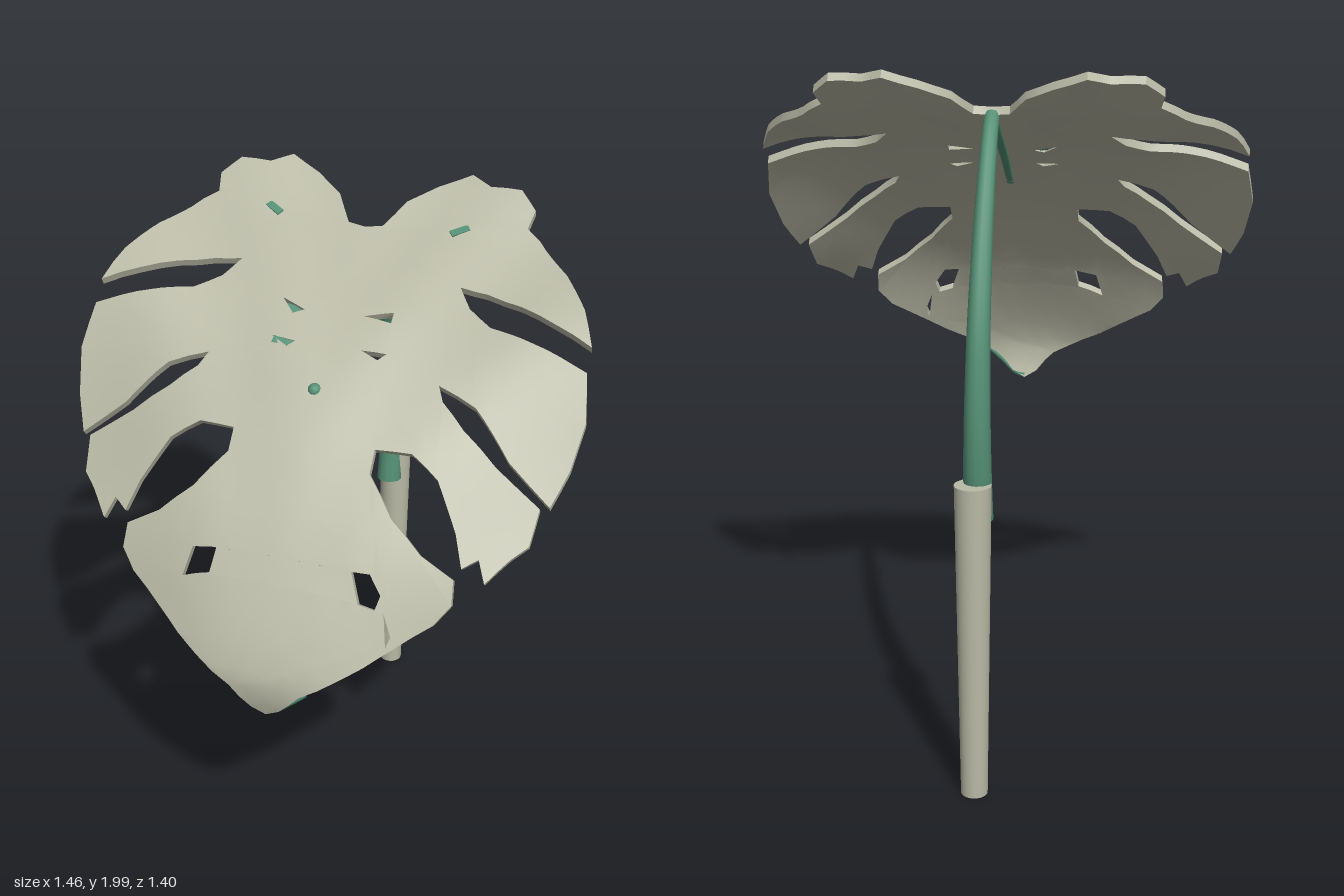
import * as THREE from 'three';
import { mergeVertices, toCreasedNormals } from 'three/addons/utils/BufferGeometryUtils.js';

const leafMat = new THREE.MeshStandardMaterial({ color: 0xbabaa7 });
leafMat.name = 'pale leaf';
const stemMat = new THREE.MeshStandardMaterial({ color: 0x559076 });
stemMat.name = 'stem green';

// Midrib profile: distance along the leaf u -> [u, z, y]
const RIB = [
  [-0.46, -0.46, 1.995], [-0.3, -0.3, 1.89], [0, 0, 1.745], [0.1, 0.1, 1.69], [0.2, 0.2, 1.625],
  [0.3, 0.3, 1.55], [0.4, 0.4, 1.45], [0.5, 0.5, 1.33], [0.6, 0.6, 1.18], [0.7, 0.685, 1.02],
  [0.78, 0.705, 0.93], [0.86, 0.68, 0.84],
];
function ribAt(u) {
  let i = 0;
  while (i < RIB.length - 2 && u > RIB[i + 1][0]) i++;
  const [a, b] = [RIB[i], RIB[i + 1]];
  const t = (u - a[0]) / (b[0] - a[0]);
  return [a[1] + (b[1] - a[1]) * t, a[2] + (b[2] - a[2]) * t];
}

// Point on the curved leaf; h is the depth below its upper face
function onLeaf(x, u, h) {
  const e = 0.025;
  const [z0, y0] = ribAt(u - e), [z1, y1] = ribAt(u + e);
  const len = Math.hypot(z1 - z0, y1 - y0);
  const droop = 0.45 * x * x * THREE.MathUtils.smoothstep(u, -0.06, 0.38);
  const cup = 0.35 * x * x * THREE.MathUtils.smoothstep(u, 0.45, 0.7);
  const ripple = 0.008 * Math.sin(Math.abs(x) * 14 + u * 9);
  return new THREE.Vector3(
    x,
    (y0 + y1) / 2 - droop + ripple * Math.min(1, Math.abs(x) * 5) - h * (z1 - z0) / len,
    (z0 + z1) / 2 - cup + h * (y1 - y0) / len
  );
}

// Half outline from the stalk notch round the lobes to the tip
const HALF = [
  [0.05, -0.285], [0.1, -0.365], [0.18, -0.42], [0.27, -0.46], [0.33, -0.425], [0.42, -0.425], [0.47, -0.38],
  [0.46, -0.33], [0.5, -0.305], [0.6, -0.2], [0.67, -0.1], [0.71, -0.01], [0.6, -0.045], [0.5, -0.09],
  [0.4, -0.12], [0.32, -0.125], [0.36, -0.07], [0.43, -0.02], [0.55, 0.01], [0.71, 0.04], [0.73, 0.12],
  [0.71, 0.2], [0.675, 0.27], [0.55, 0.235], [0.44, 0.17], [0.33, 0.14], [0.35, 0.175], [0.42, 0.22],
  [0.52, 0.255], [0.65, 0.28], [0.64, 0.35], [0.6, 0.39], [0.545, 0.455], [0.52, 0.42], [0.48, 0.45],
  [0.45, 0.4], [0.38, 0.33], [0.3, 0.3], [0.2, 0.31], [0.2, 0.36], [0.28, 0.43], [0.37, 0.465],
  [0.465, 0.475], [0.47, 0.52], [0.43, 0.565], [0.33, 0.63], [0.2, 0.71], [0.1, 0.775], [0.04, 0.84],
];

// Small tears in the blade
const HOLES = [
  [[-0.25, 0.535], [-0.18, 0.535], [-0.19, 0.575], [-0.27, 0.58]],
  [[0.2, 0.535], [0.25, 0.53], [0.285, 0.555], [0.275, 0.58], [0.23, 0.58]],
  [[0.3, 0.58], [0.325, 0.61], [0.315, 0.63]],
  [[-0.16, -0.015], [-0.09, 0.01], [-0.12, 0.025]],
  [[0.08, 0.005], [0.16, -0.015], [0.16, 0.015]],
  [[-0.16, 0.09], [-0.09, 0.1], [-0.11, 0.115]],
  [[0.1, 0.1], [0.17, 0.095], [0.15, 0.115]],
];

function makeLeaf() {
  const vec = ([x, u]) => new THREE.Vector2(x, u);
  const left = HALF.map(([x, u]) => [-x, u]).reverse();
  const shape = new THREE.Shape([[0, -0.275], ...HALF, [0, 0.86], ...left].map(vec));
  shape.holes = HOLES.map((h) => new THREE.Path(h.map(vec)));
  const flat = new THREE.ExtrudeGeometry(shape, { depth: 0.024, bevelEnabled: false });
  const p = flat.attributes.position;

  // Halve long edges until the sheet can bend smoothly
  const out = [];
  const split = (a, b, c) => {
    const ab = a.distanceTo(b), bc = b.distanceTo(c), ca = c.distanceTo(a);
    const longest = Math.max(ab, bc, ca);
    if (longest < 0.06) {
      for (const v of [a, b, c]) out.push(...onLeaf(v.x, v.y, v.z).toArray());
    } else if (ab === longest) {
      const mid = a.clone().add(b).multiplyScalar(0.5);
      split(a, mid, c);
      split(mid, b, c);
    } else if (bc === longest) {
      split(b, c, a);
    } else {
      split(c, a, b);
    }
  };
  const at = (i) => new THREE.Vector3().fromBufferAttribute(p, i);
  for (let i = 0; i < p.count; i += 3) split(at(i), at(i + 1), at(i + 2));
  const g = new THREE.BufferGeometry();
  g.setAttribute('position', new THREE.Float32BufferAttribute(out, 3));
  return toCreasedNormals(mergeVertices(g, 1e-5), 0.8);
}

// Tube whose radius runs from r0 to r1
function taperedTube(points, r0, r1, rings = 32, sides = 12) {
  const path = new THREE.CatmullRomCurve3(points);
  const g = new THREE.TubeGeometry(path, rings, 1, sides);
  const p = g.attributes.position;
  const v = new THREE.Vector3();
  for (let i = 0; i < p.count; i++) {
    const t = Math.floor(i / (sides + 1)) / rings;
    const c = path.getPointAt(t);
    v.fromBufferAttribute(p, i).sub(c).multiplyScalar(r0 + (r1 - r0) * t).add(c);
    p.setXYZ(i, v.x, v.y, v.z);
  }
  return g;
}

export function createModel() {
  const model = new THREE.Group();
  const add = (name, geometry, material) => {
    const mesh = new THREE.Mesh(geometry, material);
    mesh.name = name;
    model.add(mesh);
    return mesh;
  };

  add('leafBlade', makeLeaf(), leafMat);

  // Arching stalk, thickest where it meets the post
  const stalk = [[0.81, -0.615], [0.95, -0.632], [1.1, -0.632], [1.3, -0.602], [1.45, -0.55],
    [1.62, -0.465], [1.75, -0.38], [1.83, -0.31], [1.855, -0.275]];
  add('stalk', taperedTube(stalk.map(([y, z]) => new THREE.Vector3(0, y, z)), 0.041, 0.021), stemMat);
  const cap = add('stalkBase', new THREE.CircleGeometry(0.041, 12), stemMat);
  cap.rotation.x = Math.PI / 2;
  cap.position.set(0, 0.811, -0.615);

  // Rib under the blade, surfacing at its end
  const rib = [-0.28, -0.15, 0, 0.12, 0.18].map((u) => onLeaf(0, u, 0.026));
  rib.push(onLeaf(0, 0.21, 0.01));
  add('midrib', taperedTube(rib, 0.016, 0.011, 20, 8), stemMat);
  const ribEnd = add('ribEnd', new THREE.SphereGeometry(0.02, 10, 8), stemMat);
  ribEnd.position.copy(onLeaf(0, 0.212, 0.008));

  // Green edge at the leaf tip
  const tip = [[0.12, 0.767], [0.07, 0.812], [0.03, 0.843], [0, 0.85]].map(([x, u]) => onLeaf(x, u, 0.014));
  add('tipEdge', taperedTube(tip, 0.006, 0.012, 10, 6), stemMat);

  // Little green flecks on the upper lobes and inside two of the tears
  const flecks = [
    [0.275, -0.29, 0.002, 0.055, 0.4, 0.6], [-0.275, -0.29, 0.002, 0.055, 0.4, -0.6],
    [-0.125, 0.007, 0.015, 0.05, 0.55, -0.2], [-0.125, 0.102, 0.006, 0.06, 0.55, -0.1],
  ];
  for (const [x, u, h, width, pitch, turn] of flecks) {
    const fleck = add('fleck', new THREE.BoxGeometry(width, 0.009, 0.022), stemMat);
    fleck.position.copy(onLeaf(x, u, h));
    fleck.rotation.set(pitch, turn, 0);
  }

  // Support post
  const post = add('post', new THREE.CylinderGeometry(0.051, 0.038, 0.92, 24), leafMat);
  post.position.set(0.01, 0.46, -0.655);
  return model;
}
